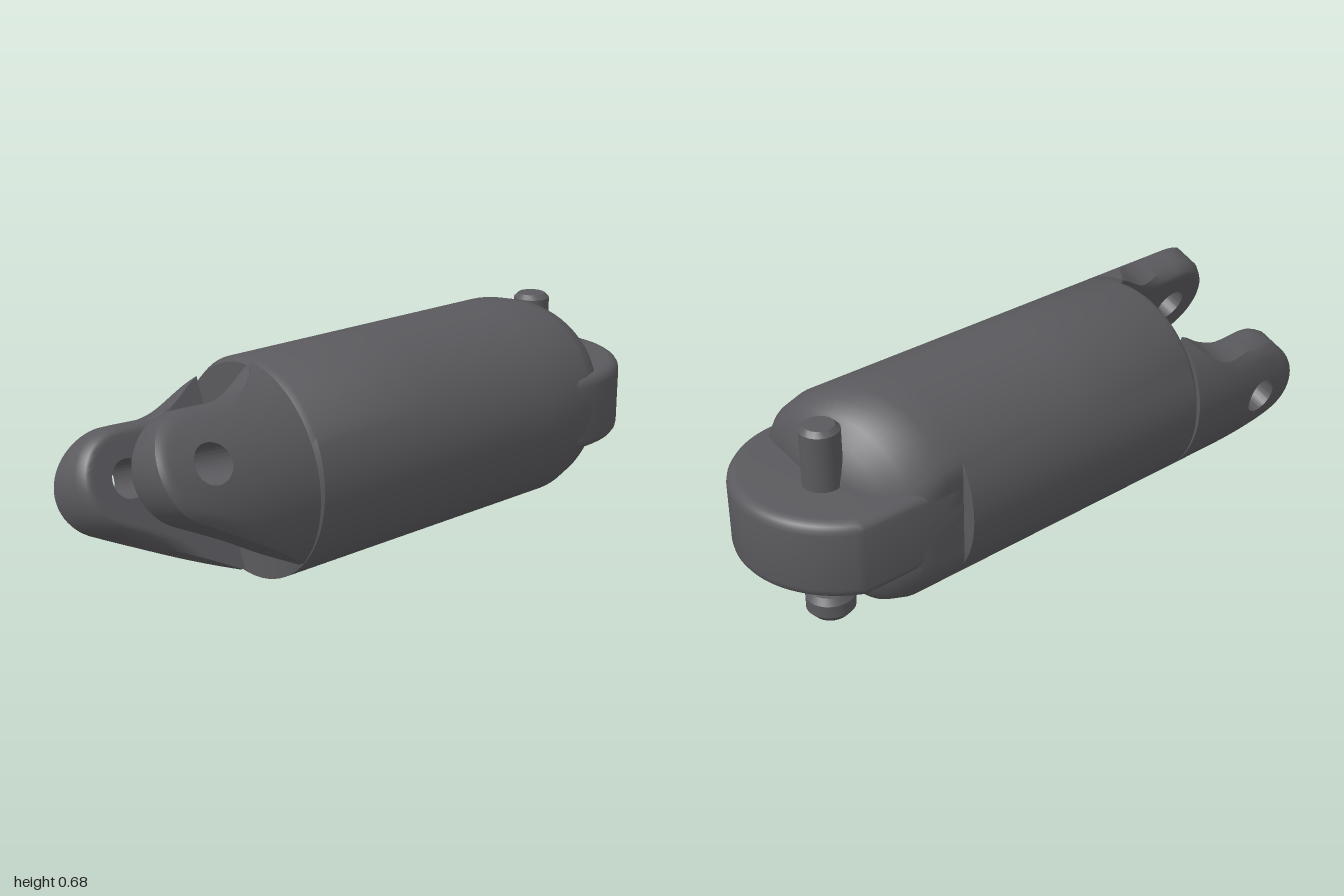
import * as THREE from 'three';
import { toCreasedNormals } from 'three/addons/utils/BufferGeometryUtils.js';

const R = 0.34, CY = 0.342, TILT = 0.37;

// Closed grid surface from rings of points, turned to face outward, with sharp creases kept.
function loft(rings, closeRows) {
  const n = rings[0].length, m = rings.length, pos = rings.flat(2), index = [];
  for (let i = 0; i < (closeRows ? m : m - 1); i++) {
    for (let j = 0; j < n; j++) {
      const a = i * n + j, b = i * n + (j + 1) % n;
      const c = ((i + 1) % m) * n + j, d = ((i + 1) % m) * n + (j + 1) % n;
      index.push(a, b, d, a, d, c);
    }
  }
  let volume = 0;
  const p = (k) => new THREE.Vector3().fromArray(pos, k * 3);
  for (let k = 0; k < index.length; k += 3) {
    volume += p(index[k]).dot(p(index[k + 1]).cross(p(index[k + 2])));
  }
  if (volume < 0) index.reverse();
  const g = new THREE.BufferGeometry();
  g.setAttribute('position', new THREE.Float32BufferAttribute(pos, 3));
  g.setIndex(index);
  return toCreasedNormals(g, 0.6);
}

// Round barrel with a rounded, slanted shoulder at the back and a flat on one side.
function bodyGeometry() {
  // [z along the top, z along the bottom, radius, amount of slant]
  const profile = [
    [0.5, 0.5, 0, 0], [0.5, 0.5, 0.325, 0], [0.47, 0.5, R, 0], [0, 0, R, 0],
    [-0.455, -0.455, R, 0], [-0.46, -0.46, R, 0], [-0.58, -0.6, R, 1], [-0.64, -0.65, 0.325, 1],
    [-0.69, -0.68, 0.295, 0.9], [-0.73, -0.7, 0.25, 0.6], [-0.76, -0.7, 0.19, 0.3],
    [-0.78, -0.7, 0.13, 0], [-0.78, -0.7, 0, 0],
  ];
  return loft(profile.map(([zt, zb, r, slant], k) => {
    const ring = [];
    for (let j = 0; j < 72; j++) {
      const a = j / 72 * Math.PI * 2, s = 0.5 + 0.5 * Math.sin(a);
      let x = r * Math.cos(a);
      const z = zb + (zt - zb) * s - slant * s * x * 0.3;
      if (k > 4) x = Math.max(x, -0.3);
      ring.push([x, r * Math.sin(a), z]);
    }
    return ring;
  }), false);
}

// Fork prong: side outline around a pin hole, flat inside and following the barrel outside.
function prongGeometry(side, reach) {
  const cz = 0.83, cv = 0.06, hole = 0.06, inner = 0.145;
  const shape = new THREE.Shape();
  shape.moveTo(0.5, 0.305);
  shape.bezierCurveTo(0.58, 0.27, 0.6, 0.215, 0.72, 0.22);
  shape.lineTo(cz, cv + 0.165);
  shape.absarc(cz, cv, 0.165, Math.PI / 2, -1.13, true);
  shape.lineTo(0.5, -0.305);
  shape.lineTo(0.5, 0.305);
  const outline = shape.getSpacedPoints(120).slice(0, -1);
  const steps = 12;
  return loft(outline.map((p) => {
    const a = Math.atan2(p.y - cv, p.x - cz), section = [];
    const h = [cz + hole * Math.cos(a), cv + hole * Math.sin(a)];
    const tip = THREE.MathUtils.smoothstep(p.x, 0.6, 0.8);
    for (let k = 0; k < 2 * (steps + 1); k++) {
      const out = k > steps, t = (out ? 2 * steps + 1 - k : k) / steps;
      const z = h[0] + (p.x - h[0]) * t, v = h[1] + (p.y - h[1]) * t;
      const lip = 0.04 * tip * Math.max(0, (t - 0.7) / 0.3) ** 2;
      const u = out
        ? Math.max(inner + 0.001, Math.sqrt(Math.max(0, R * R - v * v)) - lip * 0.3)
        : inner + lip;
      section.push([side * u, v, 0.5 + (z - 0.5) * reach]);
    }
    return section;
  }), true);
}

// Rounded tongue at the back, lying flat.
function tongueGeometry() {
  const bevel = 0.035, r = 0.335 - bevel, flat = -0.3 + bevel, cz = 0.665;
  const cut = Math.acos(flat / r);
  const shape = new THREE.Shape();
  shape.moveTo(flat, 0.5);
  shape.lineTo(0.26, 0.5);
  shape.lineTo(r * Math.cos(-0.15), cz + r * Math.sin(-0.15));
  shape.absarc(0, cz, r, -0.15, cut, false);
  shape.lineTo(flat, 0.5);
  const g = new THREE.ExtrudeGeometry(shape, {
    depth: 0.25 - 2 * bevel, bevelEnabled: true, bevelThickness: bevel,
    bevelSize: bevel, bevelSegments: 4, curveSegments: 40,
  });
  g.rotateX(-Math.PI / 2);
  g.translate(0, 0.22 + bevel, 0);
  return toCreasedNormals(g, 0.6);
}

// Upright pin with a knob at the bottom.
function pinGeometry() {
  const profile = [
    [0, 0.02], [0.055, 0.022], [0.075, 0.045], [0.075, 0.085], [0.06, 0.105], [0.045, 0.108],
    [0.045, 0.125], [0.06, 0.128], [0.06, 0.645], [0.045, 0.66], [0, 0.662],
  ].map(([x, y]) => new THREE.Vector2(x, y));
  return toCreasedNormals(new THREE.LatheGeometry(profile, 28), 0.6);
}

export function createModel() {
  const steel = new THREE.MeshStandardMaterial({ color: 0x5a5a5e });
  steel.name = 'dark steel';
  const model = new THREE.Group();
  model.name = 'forkedLink';
  const add = (name, geometry, parent = model) => {
    const mesh = new THREE.Mesh(geometry, steel);
    mesh.name = name;
    parent.add(mesh);
    return mesh;
  };

  add('barrel', bodyGeometry()).position.y = CY;

  // Fork, turned about the barrel axis
  const fork = new THREE.Group();
  fork.name = 'fork';
  fork.position.y = CY;
  fork.rotation.z = TILT;
  model.add(fork);
  add('leftProng', prongGeometry(1, 1), fork);
  add('rightProng', prongGeometry(-1, 0.95), fork);

  add('tongue', tongueGeometry());
  add('pin', pinGeometry()).position.set(-0.05, 0, -0.77);
  return model;
}
